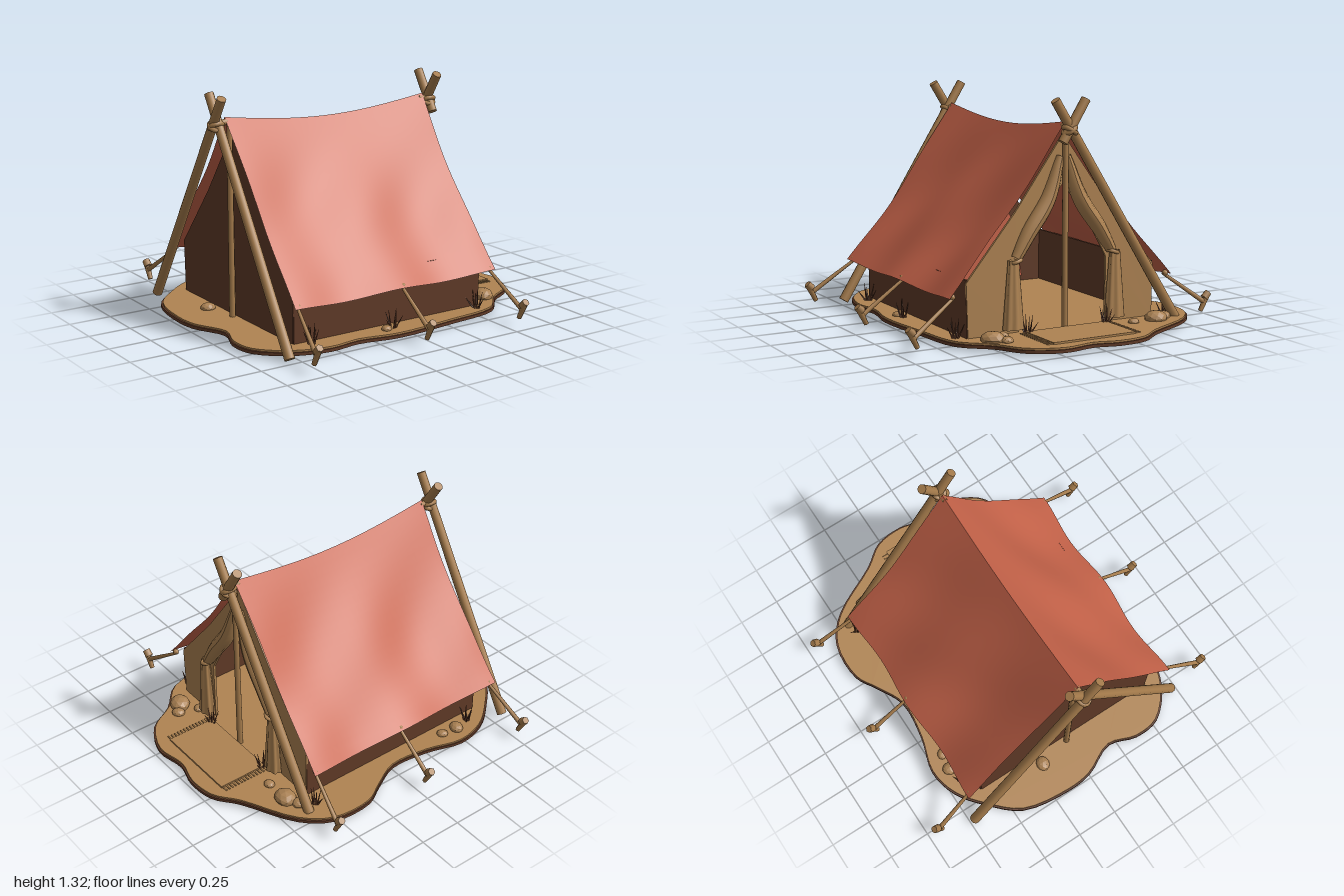
import * as THREE from 'three';

const V = (x, y, z) => new THREE.Vector3(x, y, z);
const mat = (name, color, extra = {}) => Object.assign(new THREE.MeshStandardMaterial({ color, ...extra }), { name });

export function createModel() {
  const tent = new THREE.Group();
  tent.name = 'tent';
  const red = mat('red canvas', 0xc8644a, { side: THREE.DoubleSide });
  const cloth = mat('tan cloth', 0xae8352, { side: THREE.DoubleSide });
  const sand = mat('sand', 0xb08452);
  const wood = mat('wood', 0xa67c4c);
  const stone = mat('stone', 0xa98052, { flatShading: true });
  const brown = mat('dark brown', 0x603a27, { side: THREE.DoubleSide });

  const add = (name, geo, material) => {
    const m = new THREE.Mesh(geo, material);
    m.name = name;
    tent.add(m);
    return m;
  };
  // Straight round bar between two points
  const bar = (name, a, b, ra, rb, material, sides = 10) => {
    const m = add(name, new THREE.CylinderGeometry(rb, ra, a.distanceTo(b), sides), material);
    m.position.copy(a).lerp(b, 0.5);
    m.quaternion.setFromUnitVectors(V(0, 1, 0), b.clone().sub(a).normalize());
    return m;
  };
  // Tube along a curve whose radius follows a rule
  const taper = (name, pts, radius, material, sides = 10) => {
    const curve = new THREE.CatmullRomCurve3(pts);
    const n = 16, geo = new THREE.TubeGeometry(curve, n, 1, sides), p = geo.attributes.position;
    for (let i = 0; i < p.count; i++) {
      const t = Math.floor(i / (sides + 1)) / n, c = curve.getPointAt(t);
      const v = V(0, 0, 0).fromBufferAttribute(p, i).sub(c).multiplyScalar(radius(t)).add(c);
      p.setXYZ(i, v.x, v.y, v.z);
    }
    geo.computeVertexNormals();
    return add(name, geo, material);
  };

  // Ground slab with a wavy outline
  const rim = [[-1, -.16], [-.95, -.45], [-.8, -.62], [-.64, -.74], [-.46, -.78], [-.24, -.72], [0, -.7], [.17, -.78],
    [.3, -.85], [.54, -.84], [.7, -.72], [.87, -.41], [.97, -.27], [.99, -.1], [.955, .05], [.98, .24], [.89, .43],
    [.73, .53], [.58, .68], [.25, .73], [-.13, .76], [-.37, .72], [-.56, .74], [-.77, .68], [-.93, .53], [-.95, .37],
    [-.9, .2], [-.985, 0]];
  const outline = new THREE.CatmullRomCurve3(rim.map(([x, z]) => V(x, -z, 0)), true).getPoints(112);
  const slab = (name, scale, y, depth, material) => {
    const shape = new THREE.Shape(outline.slice(0, -1).map(p => new THREE.Vector2(p.x * scale, p.y * scale)));
    const geo = new THREE.ExtrudeGeometry(shape, { depth, bevelEnabled: false });
    geo.rotateX(-Math.PI / 2).translate(0, y, 0);
    add(name, geo, material);
  };
  slab('groundBase', 1, 0, 0.018, brown);
  slab('groundTop', 0.99, 0.018, 0.01, sand);

  // Two sagging roof sheets that meet at the ridge
  for (const s of [1, -1]) {
    const geo = new THREE.PlaneGeometry(1, 1, 32, 20), p = geo.attributes.position;
    for (let i = 0; i < p.count; i++) {
      const u = p.getX(i) + 0.5, t = 0.5 - p.getY(i);
      const ridge = 1.17 - 0.06 * Math.sin(Math.PI * u);
      const x = -0.765 + 1.34 * u + 0.012 * Math.sin(Math.PI * t) * (1 - 2 * u);
      const fold = 0.007 * Math.sin(9 * u + 7 * t * s) * Math.sin(Math.PI * t);
      const eave = 0.25 + 0.01 * Math.cos(4 * Math.PI * u);
      const y = ridge + (eave - ridge) * t - 0.035 * Math.sin(Math.PI * t) + fold;
      p.setXYZ(i, x, y, s * ((0.7 + 0.012 * Math.cos(4 * Math.PI * u)) * t + fold));
    }
    geo.computeVertexNormals();
    add('roofSheet', geo, red);
    // Low side wall below the eave
    const wall = add('sideWall', new THREE.BoxGeometry(1.25, 0.32, 0.015), brown);
    wall.position.set(-0.08, 0.185, s * 0.59);
  }

  // End walls
  const endWall = (name, pts, x, depth, material, door) => {
    const shape = new THREE.Shape(pts.map(([z, y]) => new THREE.Vector2(z, y)));
    if (door) {
      shape.lineTo(0.28, 0.03);
      shape.lineTo(0.28, 0.4);
      shape.quadraticCurveTo(0.17, 0.62, 0, 0.83);
      shape.quadraticCurveTo(-0.17, 0.62, -0.28, 0.4);
      shape.lineTo(-0.28, 0.03);
    }
    const geo = new THREE.ExtrudeGeometry(shape, { depth, bevelEnabled: false });
    geo.rotateY(Math.PI / 2).translate(x, 0, 0);
    add(name, geo, material);
  };
  const gable = [[-.59, .025], [-.6, .33], [-.3, .69], [0, 1.1], [.3, .69], [.6, .33], [.59, .025]];
  endWall('doorWall', gable, 0.535, 0.015, cloth, true);
  endWall('backWall', gable, -0.71, 0.015, brown);
  endWall('innerPanel', [[-.45, .06], [-.4, .4], [-.2, .72], [.2, .72], [.4, .4], [.45, .06]], -0.692, 0.008, red);

  // Tied-back door curtains
  for (const s of [1, -1]) {
    taper('curtainTop', [V(.555, .98, s * .02), V(.56, .75, s * .1), V(.565, .57, s * .225), V(.57, .44, s * .305)],
      t => 0.012 + 0.034 * Math.sin(Math.PI * (0.1 + 0.72 * t)), cloth);
    const geo = new THREE.CylinderGeometry(0.03, 0.058, 0.38, 32, 6, true), p = geo.attributes.position;
    for (let i = 0; i < p.count; i++) {
      const x = p.getX(i), z = p.getZ(i), k = 1 + 0.12 * Math.cos(7 * Math.atan2(z, x));
      p.setXYZ(i, x * k * 0.7, p.getY(i), z * k);
    }
    geo.computeVertexNormals();
    add('curtainTail', geo, cloth).position.set(0.575, 0.245, s * 0.325);
    const tie = add('curtainTie', new THREE.TorusGeometry(0.031, 0.011, 8, 16), cloth);
    tie.position.set(0.572, 0.43, s * 0.31);
    tie.rotation.set(Math.PI / 2 + s * 0.3, 0, 0);
  }

  // Crossed end poles, lashings and upright poles
  for (const s of [1, -1]) {
    bar('backPole', V(-.82 + s * .012, 0, s * .72), V(-.82 + s * .012, 1.29, -s * .09), 0.03, 0.027, wood);
  }
  bar('frontPole', V(.615, .02, -.71), V(.615, 1.29, .09), 0.03, 0.027, wood);
  bar('frontPoleStub', V(.62, 1.06, .045), V(.62, 1.29, -.1), 0.028, 0.027, wood);
  for (const x of [-0.82, 0.615]) {
    for (const a of [-0.55, 0.55]) {
      const lashing = add('lashing', new THREE.TorusGeometry(0.036, 0.014, 8, 18), wood);
      lashing.position.set(x, 1.125, 0);
      lashing.rotation.x = Math.PI / 2 + a;
    }
    const end = Math.sign(x);
    bar('ridgeTie', V(x, 1.13, 0), V(x - end * .07, 1.145, 0), 0.022, 0.016, wood);
  }
  bar('doorPole', V(.575, .025, 0), V(.575, 1.12, 0), 0.018, 0.016, wood);
  bar('rearPole', V(-.735, .025, 0), V(-.735, 1.12, 0), 0.018, 0.016, wood);

  // Guy ropes and pegs
  for (const s of [1, -1]) {
    for (const [x0, x1] of [[-.73, -.78], [-.055, -.055], [.55, .59]]) {
      bar('guyRope', V(x0, .265, s * .67), V(x1, .08, s * .93), 0.009, 0.014, wood, 8);
      add('ropeKnot', new THREE.SphereGeometry(0.018, 8, 6), wood).position.set(x0, .265, s * .685);
      bar('peg', V(x1, .025, s * .91), V(x1, .115, s * .955), 0.014, 0.019, wood, 6);
      bar('pegHead', V(x1, .1, s * .935), V(x1, .13, s * .965), 0.024, 0.022, wood, 6);
    }
  }

  // Fringed door mat
  add('doorMat', new THREE.BoxGeometry(0.3, 0.012, 0.52), cloth).position.set(0.74, 0.033, 0);
  for (let i = 0; i < 14; i++) {
    for (const s of [1, -1]) {
      const strand = add('matFringe', new THREE.BoxGeometry(0.008, 0.006, 0.04), cloth);
      strand.position.set(0.6 + i * 0.0215, 0.032, s * 0.275);
    }
  }

  // Stones: x, z, size
  [[.66, -.55, .06], [.62, -.63, .04], [.66, .5, .06], [.71, .44, .035], [.59, .4, .03], [.66, -.4, .03],
    [-.78, -.2, .04], [-.5, -.68, .04], [-.4, -.67, .03], [-.15, .67, .03]].forEach(([x, z, r], i) => {
    const rock = add('stone', new THREE.IcosahedronGeometry(r, 1), stone);
    rock.position.set(x, 0.025 + r * 0.25, z);
    rock.scale.set(1, 0.7, 1.15);
    rock.rotation.y = i * 1.3;
  });
  // Small bundle inside
  const bundle = add('bundle', new THREE.SphereGeometry(0.08, 14, 10), cloth);
  bundle.position.set(-0.45, 0.07, -0.13);
  bundle.scale.set(1, 0.7, 1.2);

  // Grass tufts
  [[-.62, .64], [-.1, .66], [.5, .64], [.6, .25], [.6, -.25], [.55, -.68], [-.6, -.66]].forEach(([x, z], k) => {
    for (let i = 0; i < 7; i++) {
      const a = i * 2.4 + k, lean = 0.02 + 0.007 * i, h = 0.12 - 0.009 * i;
      bar('grassBlade', V(x + .012 * Math.cos(a), .02, z + .012 * Math.sin(a)),
        V(x + lean * Math.cos(a), .02 + h, z + lean * Math.sin(a)), 0.007, 0.001, brown, 4);
    }
  });
  return tent;
}
